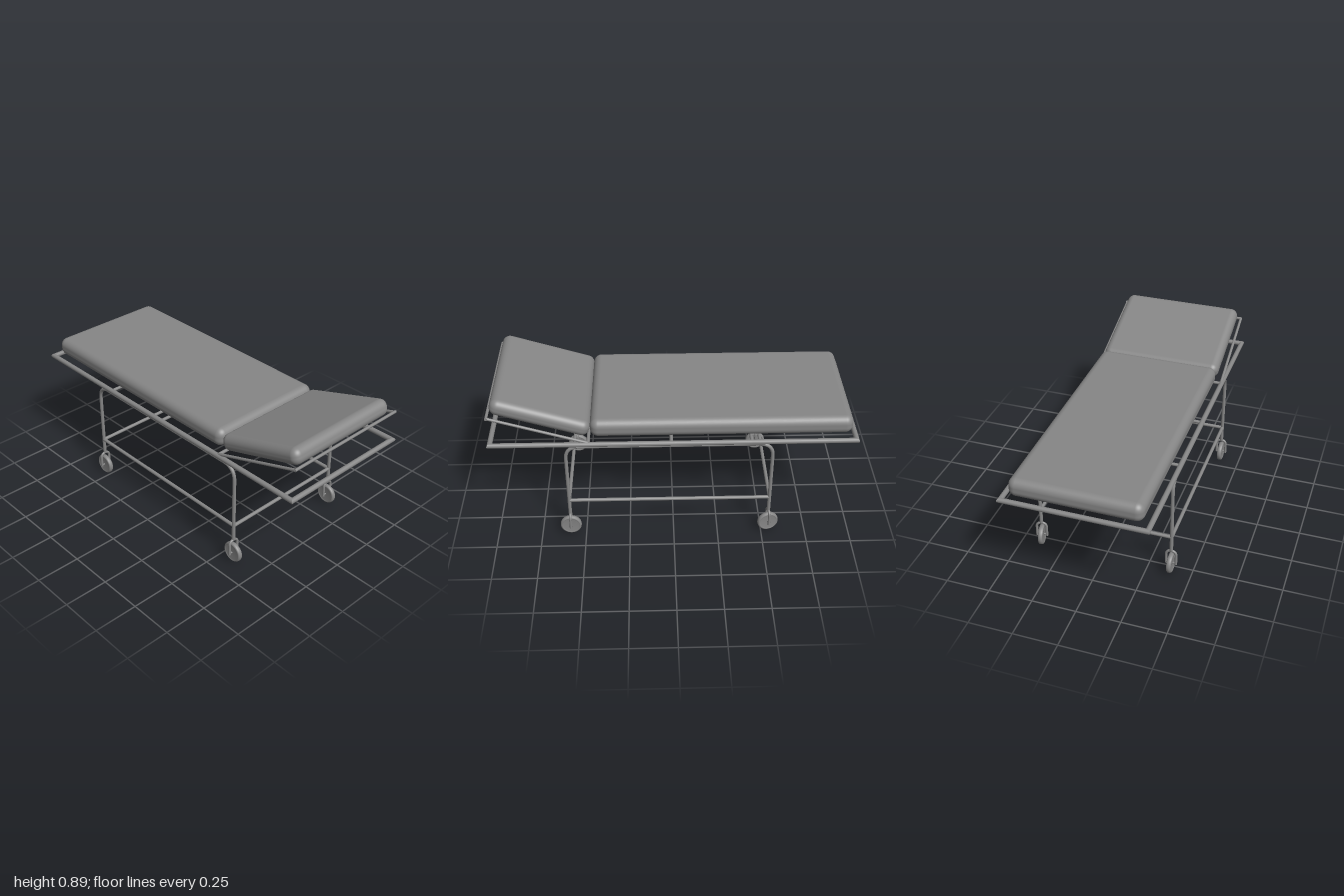
import * as THREE from 'three';
import { RoundedBoxGeometry } from 'three/addons/geometries/RoundedBoxGeometry.js';

const material = new THREE.MeshStandardMaterial({ color: 0x868686 });
const V = (x, y, z) => new THREE.Vector3(x, y, z);

function add(parent, name, geometry) {
  const mesh = new THREE.Mesh(geometry, material);
  mesh.name = name;
  parent.add(mesh);
  return mesh;
}

// Straight round bar between two points
function bar(parent, name, a, b, r) {
  const dir = b.clone().sub(a);
  const mesh = add(parent, name, new THREE.CylinderGeometry(r, r, dir.length(), 16));
  mesh.position.copy(a).add(b).multiplyScalar(0.5);
  mesh.quaternion.setFromUnitVectors(V(0, 1, 0), dir.normalize());
  return mesh;
}

// Tube along x with ends mitred at 45 degrees, longer on its +z side
function mitredRail(length, r) {
  const geometry = new THREE.CylinderGeometry(r, r, length, 16, 1, true).rotateZ(Math.PI / 2);
  const p = geometry.attributes.position;
  for (let i = 0; i < p.count; i++) {
    p.setX(i, Math.sign(p.getX(i)) * (length / 2 + p.getZ(i)));
  }
  return geometry;
}

const LEFT_X = -0.538, RIGHT_X = 0.585, LEG_Z = 0.382;

// Inverted U: two legs joined by a long bar with rounded bends
function legHoop(parent, z) {
  const top = 0.615, bend = 0.08;
  const path = new THREE.CurvePath();
  const corner = (a, c, b) => path.add(new THREE.QuadraticBezierCurve3(a, c, b));
  const a = V(LEFT_X, 0.143, z), b = V(LEFT_X, top - bend, z);
  const c = V(LEFT_X + bend, top, z), d = V(RIGHT_X - bend, top, z);
  const e = V(RIGHT_X, top - bend, z), f = V(RIGHT_X, 0.143, z);
  path.add(new THREE.LineCurve3(a, b));
  corner(b, V(LEFT_X, top, z), c);
  path.add(new THREE.LineCurve3(c, d));
  corner(d, V(RIGHT_X, top, z), e);
  path.add(new THREE.LineCurve3(e, f));
  add(parent, 'legHoop', new THREE.TubeGeometry(path, 120, 0.01, 14));
}

// Castor: rounded disc wheel in an arched fork
function castor(parent, x, z, turn) {
  const group = new THREE.Group();
  group.name = 'castor';
  group.position.set(x, 0, z);
  group.rotation.y = turn;
  parent.add(group);

  const profile = [
    [0, -0.01], [0.046, -0.01], [0.048, -0.014], [0.054, -0.013], [0.059, -0.008],
    [0.06, 0], [0.059, 0.008], [0.054, 0.013], [0.048, 0.014], [0.046, 0.01], [0, 0.01],
  ].map(([r, y]) => new THREE.Vector2(r, y));
  const wheel = add(group, 'wheel', new THREE.LatheGeometry(profile, 32));
  wheel.rotation.x = Math.PI / 2;
  wheel.position.y = 0.06;

  const w = 0.028, spring = 0.115;
  const fork = new THREE.CurvePath();
  fork.add(new THREE.LineCurve3(V(0, 0.053, -w), V(0, spring, -w)));
  fork.add(new THREE.CubicBezierCurve3(V(0, spring, -w), V(0, 0.152, -w), V(0, 0.152, w), V(0, spring, w)));
  fork.add(new THREE.LineCurve3(V(0, spring, w), V(0, 0.053, w)));
  add(group, 'fork', new THREE.TubeGeometry(fork, 40, 0.0075, 10));
  bar(group, 'axle', V(0, 0.06, -w), V(0, 0.06, w), 0.005);
}

export function createModel() {
  const model = new THREE.Group();
  model.name = 'examinationCouch';

  // Rectangular bed frame with mitred corners
  const y = 0.633, r = 0.014, halfX = 0.986, halfZ = 0.387;
  for (const s of [-1, 1]) {
    const side = add(model, 'sideRail', mitredRail(2 * halfX, r));
    side.position.set(0, y, s * halfZ);
    side.rotation.y = s > 0 ? 0 : Math.PI;
    const end = add(model, 'endRail', mitredRail(2 * halfZ, r));
    end.position.set(s * halfX, y, 0);
    end.rotation.y = s * Math.PI / 2;
  }
  for (const x of [-0.42, 0.013, 0.46]) {
    bar(model, 'crossBar', V(x, y, -halfZ), V(x, y, halfZ), 0.009);
  }

  // Legs, lower rails and castors
  for (const s of [-1, 1]) {
    legHoop(model, s * LEG_Z);
    bar(model, 'lowerSideRail', V(LEFT_X, 0.238, s * LEG_Z), V(RIGHT_X, 0.238, s * LEG_Z), 0.01);
  }
  for (const x of [LEFT_X, RIGHT_X]) {
    bar(model, 'lowerEndRail', V(x, 0.238, -LEG_Z), V(x, 0.238, LEG_Z), 0.01);
    for (const s of [-1, 1]) {
      castor(model, x, s * LEG_Z, x < 0 && s < 0 ? 0.18 : 0);
    }
  }

  // Main mattress
  const mattress = add(model, 'mattress', new RoundedBoxGeometry(1.42, 0.107, 0.714, 6, 0.044));
  mattress.position.set(-0.26, 0.698, 0);

  // Raised headrest pad and its hinged frame
  const pad = add(model, 'headrestPad', new RoundedBoxGeometry(0.545, 0.094, 0.714, 6, 0.042));
  pad.position.set(0.712, 0.77, 0);
  pad.rotation.z = 0.31;
  bar(model, 'headrestSideBar', V(0.46, 0.64, 0.384), V(0.985, 0.808, 0.372), 0.008);
  bar(model, 'headrestSideBar', V(0.46, 0.64, -0.382), V(0.985, 0.808, -0.382), 0.008);
  bar(model, 'headrestEndBar', V(0.985, 0.808, -0.39), V(0.985, 0.808, 0.378), 0.008);

  return model;
}
